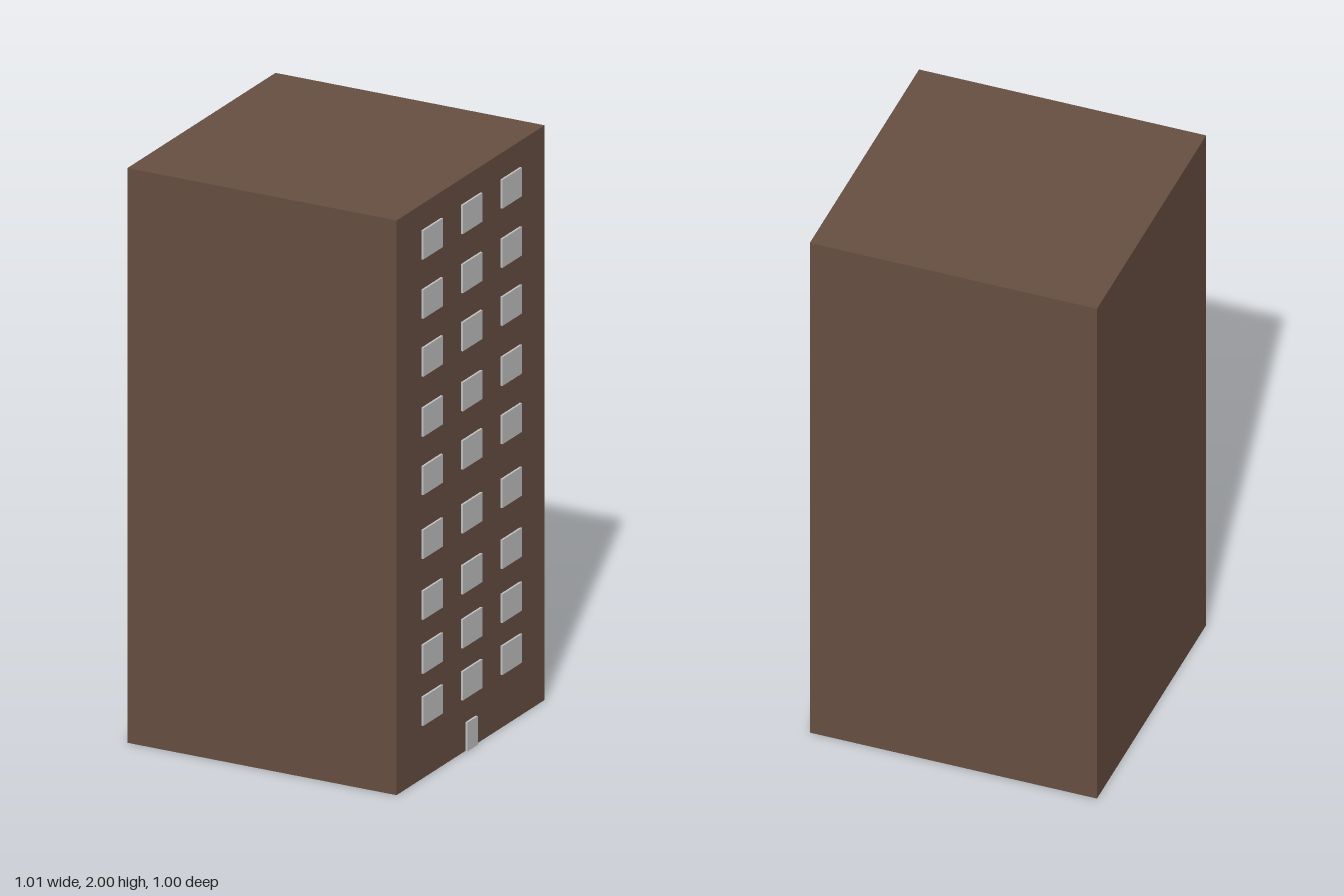
import * as THREE from 'three';

export function createModel() {
  const model = new THREE.Group();
  model.name = 'apartmentTower';

  const brown = new THREE.MeshStandardMaterial({ color: 0x674e41 });
  brown.name = 'brown wall';
  const grey = new THREE.MeshStandardMaterial({ color: 0xc0c0c0 });
  grey.name = 'pale grey panel';

  const wallX = 0.496; // outer face of the windowed wall
  const thickness = 0.008;

  function addBox(name, material, size, position, parent = model) {
    const mesh = new THREE.Mesh(new THREE.BoxGeometry(...size), material);
    mesh.name = name;
    mesh.position.set(...position);
    parent.add(mesh);
  }

  // Plain tower block
  addBox('tower', brown, [1, 2, 1], [wallX - 0.5, 1, 0]);

  // Nine floors of three windows on the +x wall
  const windows = new THREE.Group();
  windows.name = 'windows';
  model.add(windows);
  const floors = [0.237, 0.418, 0.606, 0.818, 1.04, 1.243, 1.452, 1.654, 1.86];
  for (const y of floors) {
    for (const z of [-0.267, 0, 0.267]) {
      addBox('window', grey, [thickness, 0.1, 0.132], [wallX + thickness / 2, y, z], windows);
    }
  }

  // Door at ground level
  addBox('door', grey, [thickness, 0.1, 0.068], [wallX + thickness / 2, 0.05, 0]);

  return model;
}
